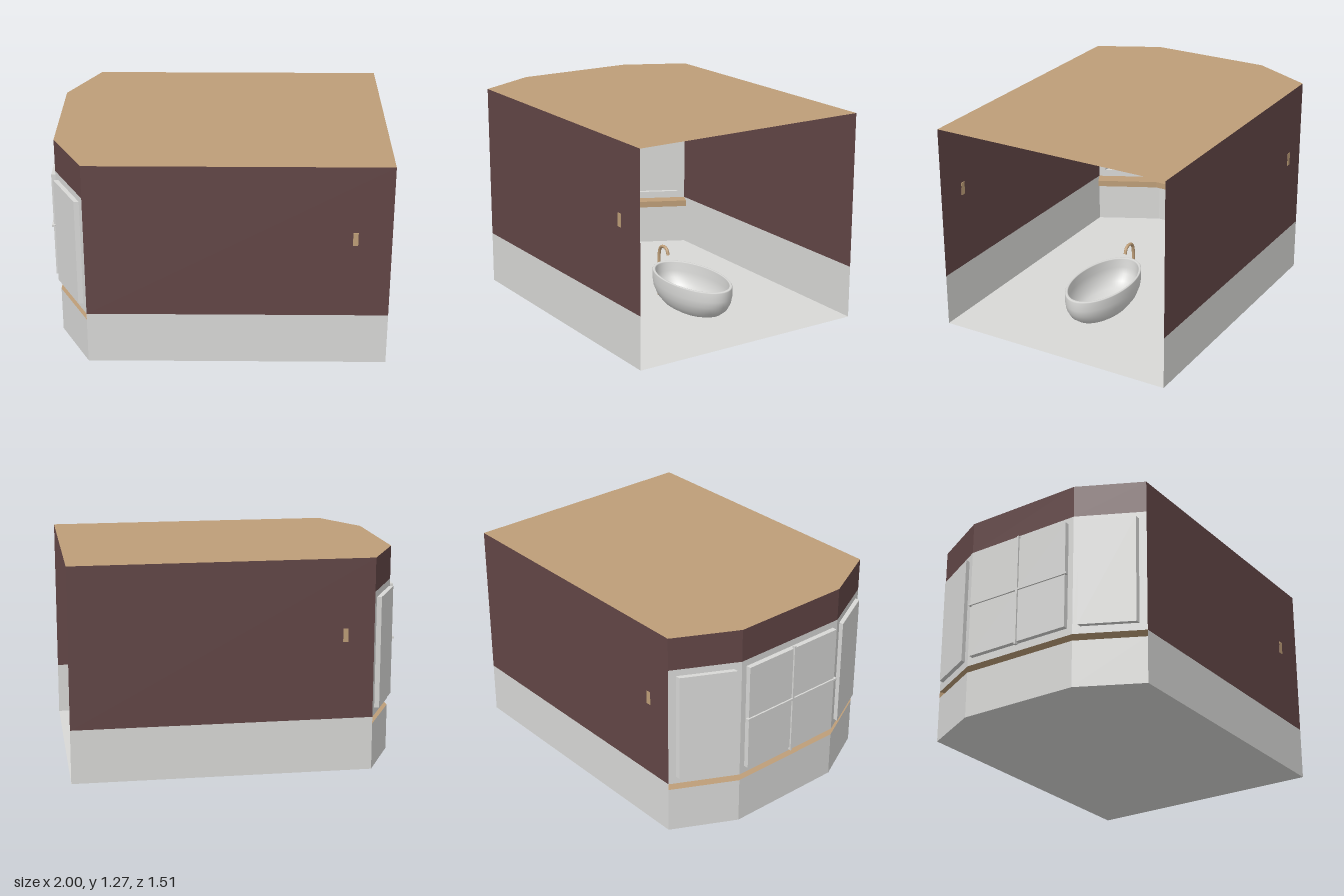
import * as THREE from 'three';

const material = (name, color) => {
  const m = new THREE.MeshStandardMaterial({ color, side: THREE.DoubleSide });
  m.name = name;
  return m;
};

export function createModel() {
  const white = material('white', 0xd8d8d6);
  const brown = material('dark brown', 0x624646);
  const tan = material('tan wood', 0xbe9e78);
  const room = new THREE.Group();
  room.name = 'bathroom';

  const add = (name, geometry, mat, parent = room) => {
    const mesh = new THREE.Mesh(geometry, mat);
    mesh.name = name;
    parent.add(mesh);
    return mesh;
  };

  const H = 1.27, D = 0.75, B = 0.375;   // height, half depth, half width of bay front
  const plan = [[1, -D], [-0.77, -D], [-0.96, -B], [-0.96, B], [-0.77, D], [1, D]];

  // flat slab outline in x and z, laid at height y
  const flat = (points, y) => {
    const shape = new THREE.Shape(points.map(([x, z]) => new THREE.Vector2(x, -z)));
    return new THREE.ShapeGeometry(shape).rotateX(-Math.PI / 2).translate(0, y, 0);
  };

  // x of the bay wall at a given z
  const bayX = (z) => -0.96 + 0.19 * Math.max(0, (Math.abs(z) - B) / (D - B));

  // upright sheet following the bay wall, with an optional rectangular hole
  const baySheet = (z0, z1, y0, y1, hole, push = 0) => {
    const rect = (a, b, c, d) =>
      [[a, c], [b, c], [b, d], [a, d]].map(([z, y]) => new THREE.Vector2(z, y));
    const shape = new THREE.Shape(rect(z0, z1, y0, y1));
    if (hole) shape.holes.push(new THREE.Path(rect(...hole)));
    const g = new THREE.ShapeGeometry(shape);
    const p = g.attributes.position;
    for (let i = 0; i < p.count; i++) {
      const z = p.getX(i);
      p.setXYZ(i, bayX(z) - push, p.getY(i), z);
    }
    // turn the faces outward (-x)
    g.computeVertexNormals();
    return g;
  };

  // single four-cornered face
  const quad = (a, b, c, d) => {
    const g = new THREE.BufferGeometry();
    g.setAttribute('position', new THREE.Float32BufferAttribute([...a, ...b, ...c, ...d], 3));
    g.setIndex([0, 1, 2, 0, 2, 3]);
    g.computeVertexNormals();
    return g;
  };
  const upright = ([x0, z0], [x1, z1], y0, y1) =>
    quad([x0, y0, z0], [x1, y0, z1], [x1, y1, z1], [x0, y1, z0]);

  // floor and ceiling; the +x end stays open
  add('floor', flat(plan, 0), white);
  add('ceiling', flat(plan, H), tan);

  // long side walls with a white lower band
  for (const s of [-1, 1]) {
    const a = [-0.77 * s, s * D], b = [1 * s, s * D];
    const ends = s > 0 ? [a, b] : [[1, -D], [-0.77, -D]];
    add('sideWallLower', upright(...ends, 0, 0.32), white);
    add('sideWallUpper', upright(...ends, 0.32, H), brown);

    // small wooden plate showing on both faces of the wall
    const plate = add('wallPlate', new THREE.BoxGeometry(0.03, 0.08, 0.006), tan);
    plate.position.set(s > 0 ? 0.79 : -0.6, 0.82, s * D);
  }

  // bay: three facets, each with a projecting window
  const facets = [
    ['right', -D, -B, [-0.71, -0.415, 0.365, 1.03]],
    ['centre', -B, B, [-0.34, 0.34, 0.365, 1.03]],
    ['left', B, D, [0.415, 0.71, 0.365, 1.03]],
  ];
  const depth = 0.03;
  for (const [side, z0, z1, win] of facets) {
    const bay = new THREE.Group();
    bay.name = side + 'BayFacet';
    room.add(bay);
    add('bayLowerWall', baySheet(z0, z1, 0, 0.28), white, bay);
    add('bayWindowWall', baySheet(z0, z1, 0.32, 1.07, win), white, bay);
    add('bayTopBand', baySheet(z0, z1, 1.07, H), brown, bay);

    // pane pushed outward and the sleeve joining it to the wall
    add('windowPane', baySheet(...win, null, depth), white, bay);
    const [a, b, c, d] = win;
    const ring = [[a, c], [a, d], [b, d], [b, c]];
    ring.forEach(([za, ya], i) => {
      const [zb, yb] = ring[(i + 1) % 4];
      add('windowSleeve', quad(
        [bayX(za), ya, za], [bayX(zb), yb, zb],
        [bayX(zb) - depth, yb, zb], [bayX(za) - depth, ya, za]), white, bay);
    });
  }

  // glazing bars across the centre window
  add('verticalBar', new THREE.BoxGeometry(0.02, 0.7, 0.012), white).position.set(-0.99, 0.697, 0);
  add('horizontalBar', new THREE.BoxGeometry(0.02, 0.012, 0.71), white).position.set(-0.99, 0.697, 0);

  // wooden window sill wrapping the bay, open on its outer edge
  const inner = [[-0.69, -0.71], [-0.87, -0.35], [-0.87, 0.35], [-0.69, 0.71]];
  const outer = plan.slice(1, 5);
  const band = [...outer, ...[...inner].reverse()];
  add('sillBottom', flat(band, 0.28), tan);
  add('sillTop', flat(band, 0.32), tan);
  const edge = [outer[0], ...inner, outer[3]];
  for (let i = 0; i < edge.length - 1; i++) {
    add('sillEdge', upright(edge[i + 1], edge[i], 0.28, 0.32), tan);
  }

  // hollow oval bathtub
  const bowl = [
    [0, 0.015], [0.05, 0.017], [0.1, 0.028], [0.135, 0.05], [0.16, 0.085],
    [0.175, 0.13], [0.18, 0.17], [0.18, 0.225], [0.177, 0.23], [0.169, 0.23],
    [0.166, 0.225], [0.165, 0.17], [0.158, 0.13], [0.143, 0.09],
    [0.12, 0.06], [0.08, 0.038], [0, 0.03],
  ].map(([r, y]) => new THREE.Vector2(r, y));
  const tub = add('bathtub', new THREE.LatheGeometry(bowl, 64), white);
  tub.scale.x = 0.34 / 0.18;
  tub.position.x = 0.41;

  // curved tap at the far end of the tub
  const tapPath = new THREE.CatmullRomCurve3([
    [0.05, 0, 0], [0.05, 0.15, 0], [0.05, 0.28, 0], [0.065, 0.32, 0],
    [0.1, 0.335, 0], [0.135, 0.325, 0], [0.15, 0.29, 0],
  ].map((p) => new THREE.Vector3(...p)));
  add('tap', new THREE.TubeGeometry(tapPath, 40, 0.01, 12), tan);

  return room;
}
